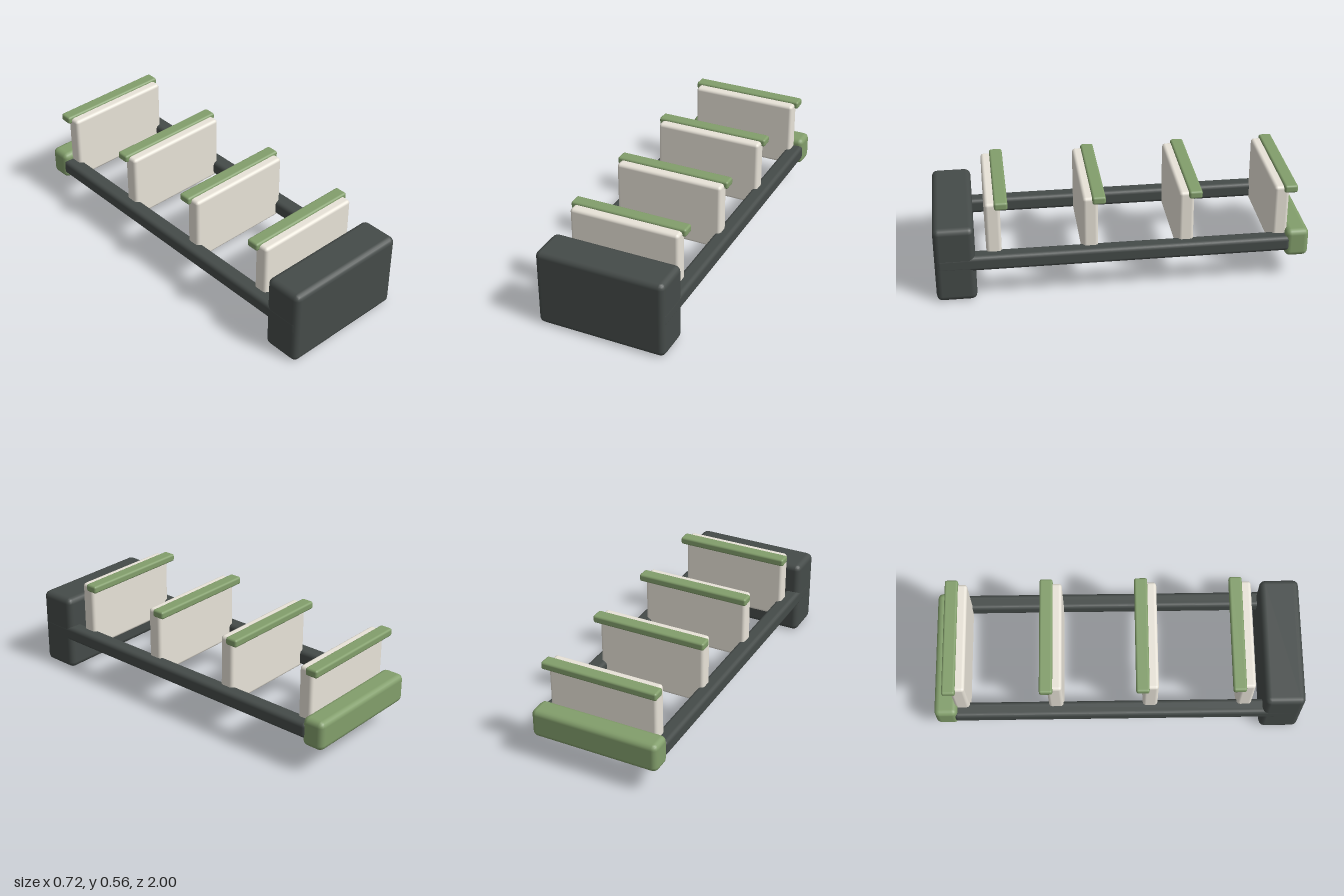
import * as THREE from 'three';
import { RoundedBoxGeometry } from 'three/addons/geometries/RoundedBoxGeometry.js';

const dark = new THREE.MeshStandardMaterial({ color: 0x454b49 });
const green = new THREE.MeshStandardMaterial({ color: 0x829e6b });
const cream = new THREE.MeshStandardMaterial({ color: 0xe8e3d8 });

// Softened box given by its [min, max] extent along each axis
function softBox(name, material, [x0, x1], [y0, y1], [z0, z1], radius) {
  const geometry = new RoundedBoxGeometry(x1 - x0, y1 - y0, z1 - z0, 2, radius);
  const mesh = new THREE.Mesh(geometry, material);
  mesh.position.set((x0 + x1) / 2, (y0 + y1) / 2, (z0 + z1) / 2);
  mesh.name = name;
  return mesh;
}

export function createModel() {
  const model = new THREE.Group();
  model.name = 'dividerRack';

  // Heavy front block and low rear bar
  model.add(softBox('frontBlock', dark, [-0.358, 0.358], [0, 0.432], [0.785, 1], 0.032));
  model.add(softBox('rearBar', green, [-0.358, 0.358], [0.14, 0.3], [-1, -0.875], 0.03));

  // Side rails, running through the block so their ends show at its rounded corners
  model.add(softBox('leftRail', dark, [0.272, 0.359], [0.177, 0.262], [-0.897, 0.99], 0.022));
  model.add(softBox('rightRail', dark, [-0.359, -0.272], [0.177, 0.262], [-0.897, 0.99], 0.022));

  // Four upright panels, each with a cap strip along its rear top edge
  for (let i = 0; i < 4; i++) {
    const divider = new THREE.Group();
    divider.name = 'divider' + (i + 1);
    divider.add(softBox('panel', cream, [-0.305, 0.305], [0.165, 0.543], [-0.04, 0.04], 0.018));
    divider.add(softBox('capStrip', green, [-0.324, 0.324], [0.512, 0.555], [-0.08, -0.009], 0.012));
    divider.position.z = 0.684 - i * 0.511;
    model.add(divider);
  }
  return model;
}
